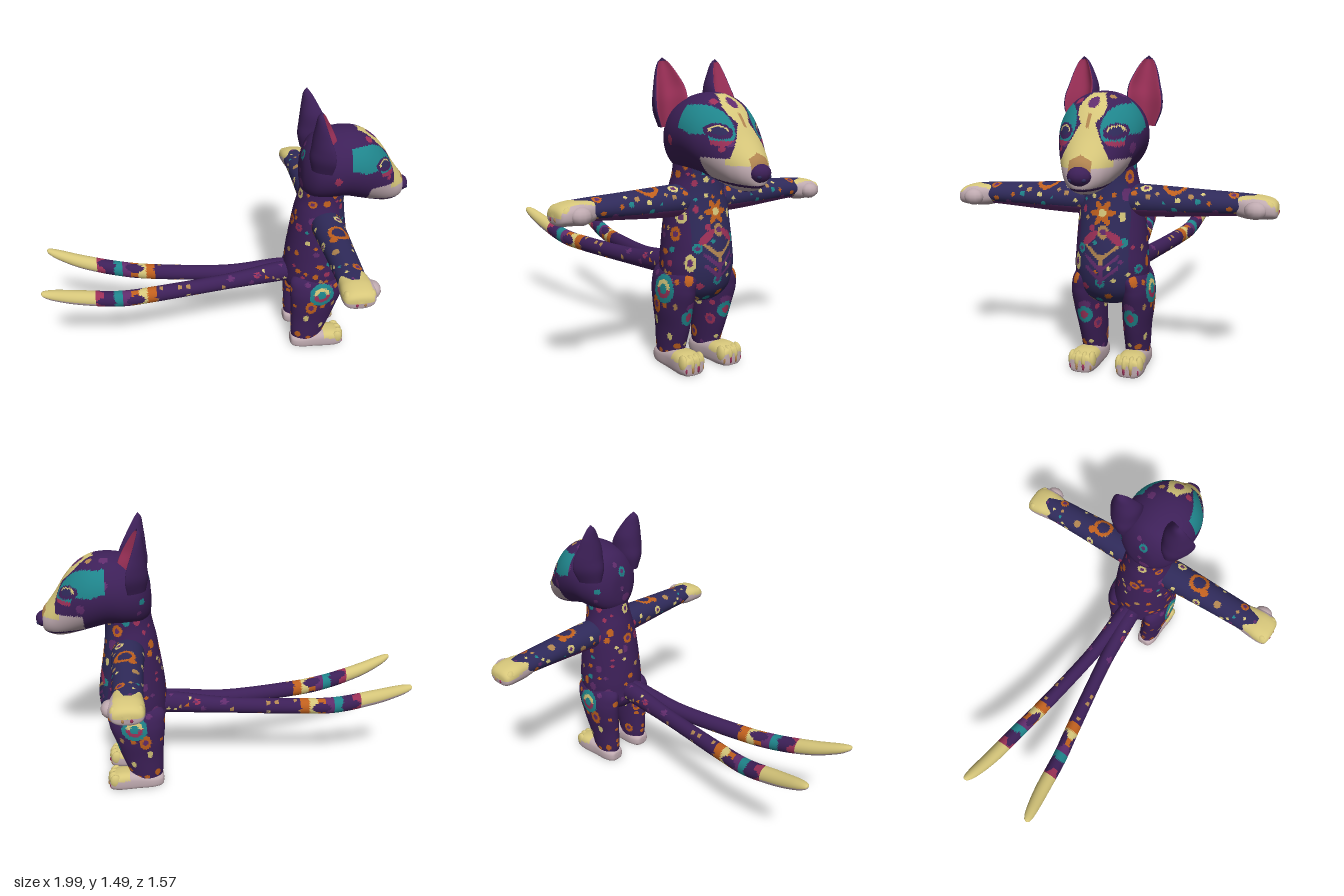
import * as THREE from 'three';

const mat = (name, color) => Object.assign(new THREE.MeshStandardMaterial({ color }), { name });
const M = {
  purple: mat('deep purple', 0x3d2058), navy: mat('navy', 0x2f2a5a), mauve: mat('mauve', 0x602c6c),
  teal: mat('teal', 0x1f858c), orange: mat('orange', 0xc0601e), cream: mat('cream', 0xd6c67a),
  magenta: mat('magenta', 0x9c3058), pale: mat('pale pink', 0xbfaab0), tan: mat('tan', 0xb08450),
};
const KEYS = Object.keys(M), MATS = Object.values(M);

function rng(seed) {
  return () => (seed = (seed * 16807) % 2147483647) / 2147483647;
}

// Smooth tube of elliptical rings. rows: [position on axis, centre1, centre2, radius1, radius2]
// axis x -> (y, z), axis y -> (x, z), axis z -> (x, y). shape(cos) may bend the first radius.
function loft(axis, rows, n, m, { pow = 1, shape = c => c } = {}) {
  const curve = f => new THREE.CatmullRomCurve3(rows.map(f), false, 'catmullrom', 0.5);
  const centre = curve(r => new THREE.Vector3(r[0], r[1], r[2]));
  const radius = curve(r => new THREE.Vector3(r[3], r[4] ?? r[3], 0));
  const soft = c => Math.sign(c) * Math.abs(c) ** pow;
  const pos = [], uv = [], idx = [];
  for (let i = 0; i <= n; i++) {
    const c = centre.getPoint(i / n), r = radius.getPoint(i / n);
    for (let j = 0; j < m; j++) {
      const a = j / m * Math.PI * 2;
      const p = c.y + Math.max(r.x, 0.0005) * shape(soft(Math.cos(a)));
      const q = c.z + Math.max(r.y, 0.0005) * soft(Math.sin(a));
      pos.push(...(axis === 'x' ? [c.x, p, q] : axis === 'y' ? [p, c.x, q] : [p, q, c.x]));
      uv.push(i / n, j / m);
      if (i < n) {
        const k = i * m + j, l = i * m + (j + 1) % m;
        idx.push(k, l, k + m, l, l + m, k + m);
      }
    }
  }
  const g = new THREE.BufferGeometry();
  g.setAttribute('position', new THREE.Float32BufferAttribute(pos, 3));
  g.setAttribute('uv', new THREE.Float32BufferAttribute(uv, 2));
  g.setIndex(idx);
  // Turn the faces outward whichever way the rows run
  const v = k => new THREE.Vector3().fromBufferAttribute(g.attributes.position, k);
  let vol = 0;
  for (let i = 0; i < idx.length; i += 3) vol += v(idx[i]).sub(v(0)).dot(v(idx[i + 1]).sub(v(0)).cross(v(idx[i + 2]).sub(v(0))));
  if (vol < 0) flip(g);
  g.computeVertexNormals();
  return g;
}

function flip(g) {
  const a = g.index.array;
  for (let i = 0; i < a.length; i += 3) [a[i], a[i + 1]] = [a[i + 1], a[i]];
}

// Sorts faces into colour groups: rule first, then scattered spots, then the base colour
function paint(g, base, rule = () => null, spots = null) {
  const P = g.attributes.position, U = g.attributes.uv, I = g.index.array, faces = [];
  for (let i = 0; i < I.length; i += 3) {
    const c = new THREE.Vector3();
    for (let k = 0; k < 3; k++) c.add(new THREE.Vector3().fromBufferAttribute(P, I[i + k]));
    faces.push({ i, c: c.divideScalar(3), u: U.getX(I[i]), v: U.getY(I[i]) });
  }
  const list = [];
  if (spots) {
    const rand = rng(spots.seed);
    for (let t = 0; t < spots.count * 8 && list.length < spots.count; t++) {
      const c = faces[Math.floor(rand() * faces.length)].c;
      const r = spots.min + rand() ** 2 * (spots.max - spots.min), stretch = 0.65 + rand() * 0.7;
      const key = spots.colors[Math.floor(rand() * spots.colors.length)], ring = r > spots.max * 0.7;
      if (list.every(s => s.c.distanceTo(c) > (s.r + r) * 1.25)) list.push({ c, r, stretch, key, ring });
    }
  }
  const groups = KEYS.map(() => []);
  for (const f of faces) {
    let key = rule(f.c, f.u, f.v);
    if (!key) for (const s of list) {
      const d = Math.hypot(f.c.x - s.c.x, (f.c.y - s.c.y) * s.stretch, f.c.z - s.c.z) / s.r;
      if (d < 1) { key = s.ring && d < 0.45 ? 'mauve' : s.key; break; }
    }
    key = key || (typeof base === 'string' ? base : base(f.c));
    groups[KEYS.indexOf(key)].push(I[f.i], I[f.i + 1], I[f.i + 2]);
  }
  g.setIndex(groups.flat());
  let start = 0;
  groups.forEach((a, k) => { if (a.length) g.addGroup(start, a.length, k); start += a.length; });
  return g;
}

function ellipsoid(x, y, z, rx, ry, rz) {
  return new THREE.SphereGeometry(1, 12, 8).scale(rx, ry, rz).translate(x, y, z);
}

export function createModel() {
  const root = new THREE.Group();
  const add = (name, g, m = MATS) => {
    const mesh = new THREE.Mesh(g, m);
    mesh.name = name;
    root.add(mesh);
  };
  const both = (name, g, m) => {
    const o = g.clone().scale(1, 1, -1);
    flip(o);
    add('right' + name, g, m);
    add('left' + name, o, m);
  };
  const bright = ['orange', 'orange', 'teal', 'magenta', 'tan', 'cream', 'mauve'];
  const eyespot = (p, x, y, r) => {
    const d = Math.hypot(p.x - x, p.y - y) / r;
    return d < 0.35 ? 'teal' : d < 0.65 ? (p.y > y ? 'cream' : 'magenta') : d < 1 ? 'teal' : null;
  };

  // Torso with chest flower, leaves and chevrons
  const torso = loft('y', [[.325, .5, 0, .001], [.335, .505, 0, .1], [.4, .51, 0, .165, .165], [.5, .52, 0, .183, .178],
    [.6, .52, 0, .178, .172], [.7, .517, 0, .163, .165], [.8, .515, 0, .147, .155], [.88, .515, 0, .135, .135],
    [.95, .52, 0, .125, .12], [1.05, .53, 0, .12, .115]], 110, 110);
  add('torso', paint(torso, p => p.x > .6 && Math.abs(p.z) < .12 ? 'navy' : 'purple', p => {
    const a = Math.abs(p.z);
    if (p.x < .57) return a > .12 ? eyespot(p, .52, .4, .07) : null;
    const d = Math.hypot(p.y - .78, p.z), t = Math.atan2(p.y - .78, p.z);
    if (d < .018) return 'cream';
    if (d < .047 + .015 * Math.cos(6 * t)) return 'orange';
    if (Math.hypot((a - .058 + (p.y - .665) * .8) / .025, (p.y - .665) / .035) < 1) return 'magenta';
    const h = p.y - a * .8 - .46;
    if (a < .08 && h > 0 && h < .13 && (a < .008 || (h / .05) % 1 < .4)) return h > .08 ? 'tan' : 'mauve';
    return null;
  }, { seed: 77, count: 130, min: .01, max: .032, colors: bright }));

  // Head with long snout and face paint
  const head = loft('x', [[.395, 1.09, 0, .001], [.405, 1.1, 0, .1, .08], [.45, 1.12, 0, .165, .15], [.53, 1.135, 0, .185, .185],
    [.62, 1.145, 0, .187, .195], [.7, 1.13, 0, .19, .187], [.77, 1.1, 0, .18, .163], [.83, 1.06, 0, .155, .135],
    [.88, 1.02, 0, .12, .108], [.925, .995, 0, .085, .082], [.955, .985, 0, .055, .05], [.965, .98, 0, .001]], 110, 110);
  add('head', paint(head, 'purple', p => {
    const a = Math.abs(p.z), { x, y } = p;
    if (x < .62) return null;
    const mouth = .955 - (x - .68) * .1;
    if (x > .7 && Math.abs(y - mouth) < .006) return 'purple';
    if (x > .7 && y < mouth && y > .905) return 'pale';
    if (x > .85 && a < .05 && y > 1.0 && y < 1.075 - a * .5) return 'tan';
    if (y > 1.2 && Math.hypot(a / .024, (y - 1.285) / .024) < 1) return 'mauve';
    if (a < .007 && y > 1.18 && y < 1.24) return 'tan';
    const stripe = y > 1.2 ? .032 + .03 * Math.sin((y - 1.2) / .12 * Math.PI) : .032 + (1.2 - y) * .5;
    if (a < stripe && y > 1.045 && y < 1.325) return 'cream';
    if (x > .74 && y < 1.05 && y >= mouth) return x > .86 && y > 1.02 ? 'cream' : 'pale';
    const e = Math.hypot((a - .115) / .045, (y - 1.165) / .034);
    if (e < .55) return 'navy';
    if (e < .75 && y > 1.165) return 'cream';
    if (e < 1) return 'purple';
    if (Math.hypot((a - .125) / .07, (y - 1.19) / .088) < 1 && (y > 1.15 || a < .15)) return y < 1.125 ? 'magenta' : 'teal';
    return null;
  }, { seed: 31, count: 34, min: .012, max: .03, colors: ['mauve', 'mauve', 'mauve', 'magenta', 'tan', 'teal'] }));
  add('nose', ellipsoid(.952, .988, 0, .044, .042, .054), M.purple);
  both('Nostril', ellipsoid(.978, .975, .028, .012, .01, .012), M.navy);

  // Cupped ears
  const ear = loft('y', [[1.17, .51, 0, .09, .05], [1.24, .52, 0, .115, .078], [1.3, .515, 0, .105, .082], [1.36, .495, 0, .08, .073],
    [1.42, .475, .01, .05, .052], [1.465, .46, .018, .027, .028], [1.49, .452, .022, .001]], 40, 40,
  { shape: c => c > 0 ? c - 1.3 * c * c : c });
  paint(ear, 'purple', (p, u, v) => Math.cos(v * Math.PI * 2) > .32 && u < .88 ? 'magenta' : null);
  both('Ear', ear.translate(-.48, 0, 0).rotateY(-.3).translate(.48, 0, .147));

  // Arms stretched sideways
  const arm = loft('z', [[.08, .53, .825, .08, .075], [.16, .53, .825, .085, .076], [.3, .53, .825, .08, .07],
    [.45, .528, .826, .075, .061], [.6, .525, .827, .072, .053], [.68, .525, .825, .07, .05]], 90, 56);
  both('Arm', paint(arm, 'navy', p => {
    if (p.y < .792) return 'mauve';
    const d = Math.hypot(p.x - .54, p.z - .31);
    return p.y > .85 && d > .035 && d < .055 ? 'orange' : null;
  }, { seed: 5, count: 60, min: .008, max: .03, colors: bright }));

  // Hands: cream backs, pale palms, thumb, fingers and claws
  const hand = loft('z', [[.6, .525, .825, .068, .05], [.65, .53, .82, .078, .054], [.7, .53, .82, .084, .053],
    [.75, .527, .815, .08, .046], [.775, .525, .81, .06, .032], [.782, .525, .81, .001]], 32, 36, { pow: .8 });
  both('Hand', paint(hand, p => p.y > .835 - (p.z - .65) * .2 && p.x < .59 ? 'cream' : 'pale'));
  both('Thumb', ellipsoid(.605, .815, .685, .04, .04, .05), M.pale);
  for (let i = 0; i < 4; i++) {
    const x = .468 + i * .039, z = .757 - Math.abs(i - 1.5) * .012;
    both('Finger' + i, ellipsoid(x, .82, z, .022, .036, .03), M.cream);
    both('Claw' + i, ellipsoid(x, .8, z + .024, .009, .012, .009), i % 2 ? M.magenta : M.tan);
  }

  // Legs
  const leg = loft('y', [[.05, .47, .112, .088, .056], [.1, .47, .112, .096, .06], [.2, .485, .115, .115, .066],
    [.3, .495, .122, .132, .074], [.4, .505, .125, .15, .074], [.48, .51, .112, .14, .06], [.53, .51, .1, .001]], 80, 72);
  both('Leg', paint(leg, 'purple', p => {
    if (p.z > .13 && p.y > .3) return eyespot(p, .52, .4, .07);
    const d = Math.hypot(p.z - .115, (p.y - .27) * .85);
    return p.x > .52 && d < .037 ? (d < .018 ? 'magenta' : 'teal') : null;
  }, { seed: 19, count: 40, min: .012, max: .034, colors: ['orange', 'orange', ...bright] }));

  // Flat-soled feet with toes
  const foot = loft('x', [[.372, .035, .112, .001], [.38, .03, .112, .032, .04], [.43, .03, .112, .045, .06], [.52, .035, .113, .055, .062],
    [.6, .04, .117, .058, .067], [.65, .04, .118, .05, .064], [.675, .04, .118, .04, .05], [.68, .04, .118, .001]], 40, 36, { pow: .7 });
  const P = foot.attributes.position;
  for (let i = 0; i < P.count; i++) P.setY(i, Math.max(P.getY(i), 0));
  foot.computeVertexNormals();
  both('Foot', paint(foot, p => p.x > .56 && p.y > .06 ? 'cream' : 'pale'));
  for (let i = 0; i < 4; i++) {
    const z = .068 + i * .033, x = .658 - Math.abs(i - 1.5) * .01;
    both('Toe' + i, ellipsoid(x, .055, z, .032, .042, .019), M.cream);
    both('ToeClaw' + i, ellipsoid(x + .022, .03, z, .012, .02, .007), i % 2 ? M.magenta : M.tan);
  }

  // Twin tails with banded ends and cream tips
  const tail = loft('x', [[.42, .46, .015, .05, .045], [.3, .46, .018, .06, .05], [0, .437, .045, .046, .04], [-.4, .437, .105, .045, .04],
    [-.6, .452, .14, .045, .04], [-.8, .5, .165, .041, .039], [-.93, .545, .187, .03, .031], [-.985, .567, .198, .016, .018],
    [-.998, .572, .2, .001]], 150, 28);
  const bands = ['magenta', 'purple', 'teal', 'mauve', 'orange', 'cream', 'orange'];
  both('Tail', paint(tail, 'purple', (p, u, v) => {
    if (p.x < -.72) return Math.cos(v * Math.PI * 2) > -.25 ? 'cream' : 'pale';
    if (p.x < -.4) return Math.sin(v * 19) + Math.sin(p.x * 40) > -.5 ? bands[Math.floor((p.x + .72) / .32 * 6.99)] : 'purple';
    return null;
  }, { seed: 41, count: 48, min: .009, max: .02, colors: ['tan', 'cream', ...bright] }));

  return root;
}
